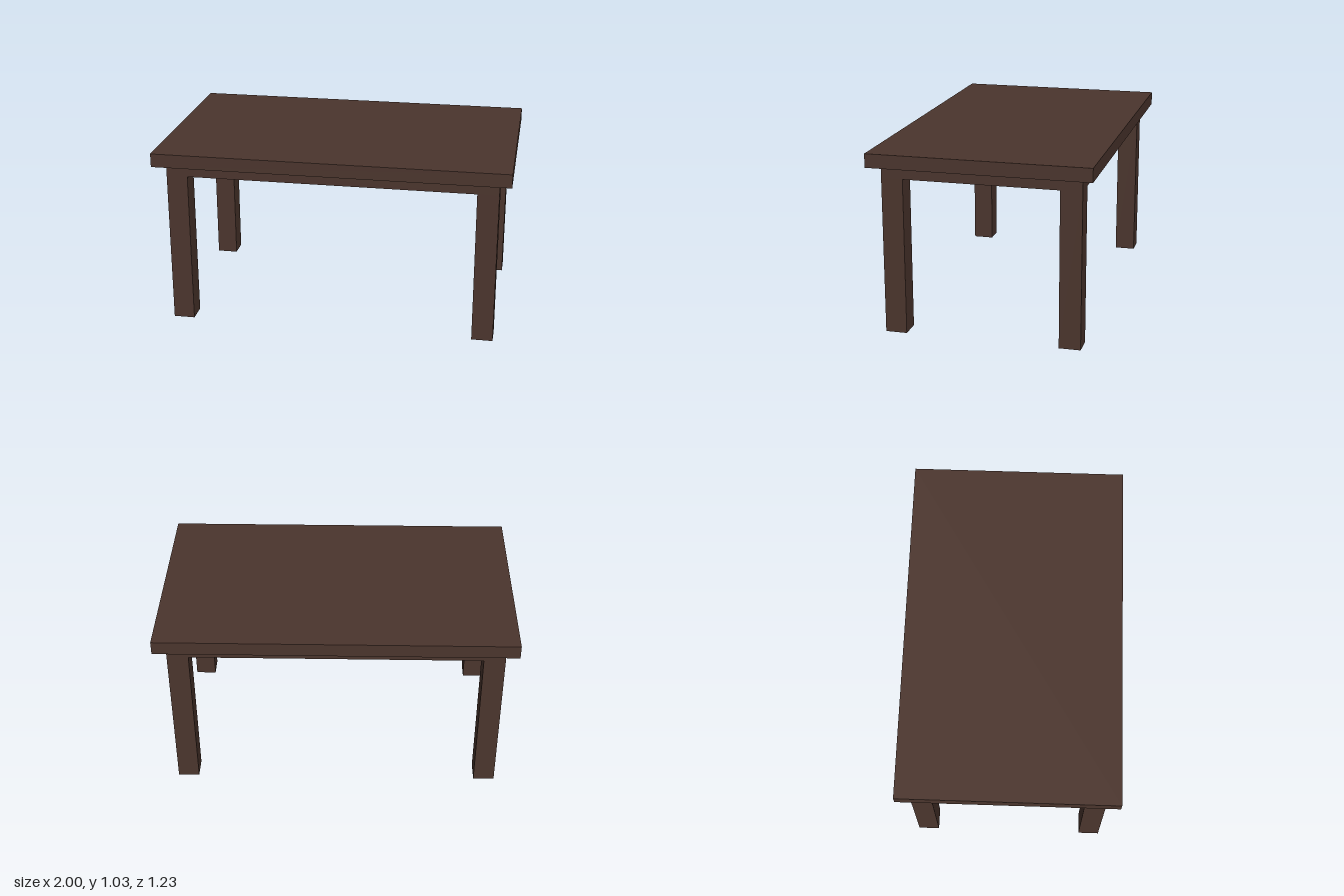
import * as THREE from 'three';

const X = 0.933, Z = 0.55, LEG = 0.12; // outer half sizes of the frame, leg width
const TOP = 1.027, UNDER = 0.95, APRON = 0.88; // heights

// rectangle outline centred on the origin
function rect(PathType, hx, hz) {
  return new PathType([[-hx, -hz], [hx, -hz], [hx, hz], [-hx, hz]]
    .map(([x, y]) => new THREE.Vector2(x, y)));
}

export function createModel() {
  const table = new THREE.Group();
  table.name = 'table';
  const wood = new THREE.MeshStandardMaterial({ color: 0x4b352d, side: THREE.DoubleSide });
  wood.name = 'dark brown wood';

  const add = (name, geometry, x, y, z) => {
    const mesh = new THREE.Mesh(geometry, wood);
    mesh.name = name;
    mesh.position.set(x, y, z);
    table.add(mesh);
    return mesh;
  };

  // overhanging slab
  add('tableTop', new THREE.BoxGeometry(2, TOP - UNDER, 1.23), 0, (TOP + UNDER) / 2, 0);

  // apron frame, flush with the legs inside and out
  const frame = rect(THREE.Shape, X, Z);
  frame.holes.push(rect(THREE.Path, X - LEG, Z - LEG));
  const apron = new THREE.ExtrudeGeometry(frame, { depth: UNDER - APRON, bevelEnabled: false });
  apron.rotateX(-Math.PI / 2);
  add('apron', apron, 0, APRON, 0);

  // hollow legs, open at the foot and where they meet the apron
  const leg = new THREE.BoxGeometry(LEG, APRON, LEG);
  const faces = Array.from(leg.index.array);
  leg.setIndex([...faces.slice(0, 12), ...faces.slice(24)]);
  leg.clearGroups();
  for (const [side, sx] of [['Left', 1], ['Right', -1]]) {
    for (const [end, sz] of [['front', 1], ['back', -1]]) {
      add(`${end}${side}Leg`, leg, sx * (X - LEG / 2), APRON / 2, sz * (Z - LEG / 2));
    }
  }
  return table;
}
